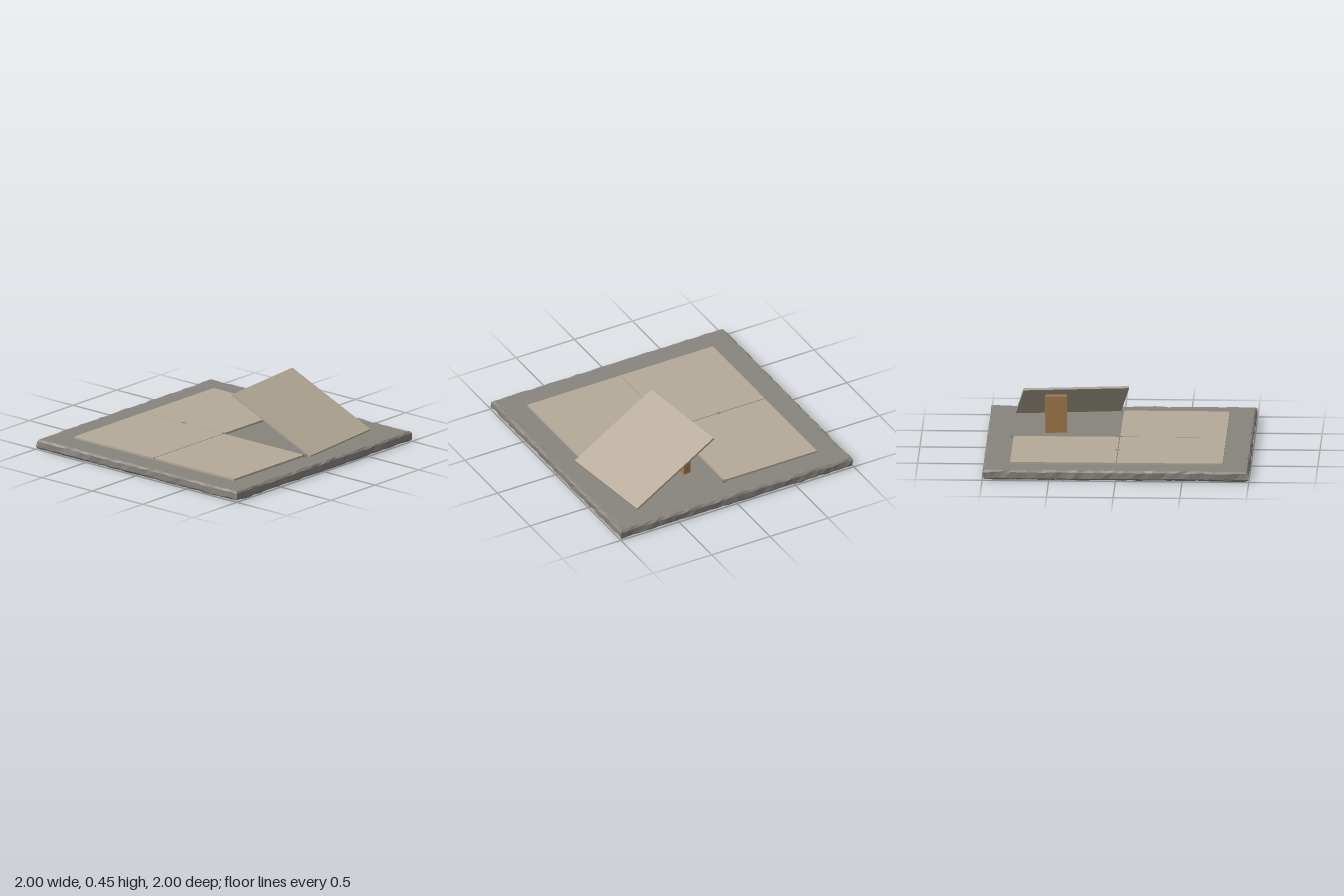
import * as THREE from 'three';

const mat = (name, color, flatShading = false) => {
  const m = new THREE.MeshStandardMaterial({ color, flatShading });
  m.name = name;
  return m;
};

// repeatable noise in -1..1 from a position
const noise = (x, y, z) => {
  const s = Math.sin(x * 127.1 + y * 911.7 + z * 311.7) * 43758.5453;
  return (s - Math.floor(s)) * 2 - 1;
};

// stone slab with flat faces and rough, chipped, bevelled edges
function slabGeometry() {
  const n = 36;
  const geo = new THREE.BoxGeometry(2, 3, 2, n, 3, n);
  const p = geo.attributes.position;
  const heights = [0.004, 0.018, 0.062, 0.077];
  const insets = [0.016, 0.005, 0.005, 0.018];
  for (let i = 0; i < p.count; i++) {
    let x = p.getX(i), z = p.getZ(i);
    const row = Math.round(p.getY(i) + 1.5);
    const kx = Math.round(x * n / 2), kz = Math.round(z * n / 2);
    const edgeX = Math.abs(kx) === n / 2, edgeZ = Math.abs(kz) === n / 2;
    let y = heights[row];
    const r = noise(kx, row, kz);
    if (edgeX) x = Math.sign(x) * (1 - insets[row] + r * 0.005);
    if (edgeZ) z = Math.sign(z) * (1 - insets[row] + r * 0.005);
    if (edgeX || edgeZ) y += noise(kz, row + 4, kx) * 0.004;
    p.setXYZ(i, x, y, z);
  }
  geo.computeVertexNormals();
  return geo;
}

export function createModel() {
  const model = new THREE.Group();
  const stone = mat('grey stone', 0x88847e, true);
  const tileMat = mat('beige tile', 0xb5aa98);
  const wood = mat('wood', 0xa67c4e);
  const plastic = mat('spacer grey', 0x8d9092);

  const add = (name, geo, material, x, y, z) => {
    const m = new THREE.Mesh(geo, material);
    m.name = name;
    m.position.set(x, y, z);
    model.add(m);
    return m;
  };

  add('slab', slabGeometry(), stone, 0, 0, 0);

  // three laid tiles, front left quarter left open
  const tileGeo = new THREE.BoxGeometry(0.794, 0.016, 0.794);
  for (const [x, z] of [[-0.4, -0.4], [0.4, -0.4], [-0.4, 0.4]])
    add('laidTile', tileGeo, tileMat, x, 0.084, z);

  // raised tile leaning back on the block
  const raised = add('raisedTile', tileGeo, tileMat, 0.371, 0.262, 0.445);
  raised.rotation.set(0.466, 0.118, 0, 'YXZ');

  // wooden prop block
  const prop = add('propBlock', new THREE.BoxGeometry(0.16, 0.28, 0.06), wood, 0.485, 0.217, 0.193);
  prop.rotation.y = 0.1;

  // small cross spacers in the joints
  for (const [x, z] of [[0, 0], [0, -0.4], [0.8, 0], [0, 0.8]]) {
    add('spacer', new THREE.BoxGeometry(0.036, 0.02, 0.006), plastic, x, 0.087, z);
    add('spacer', new THREE.BoxGeometry(0.006, 0.02, 0.036), plastic, x, 0.087, z);
  }
  return model;
}
